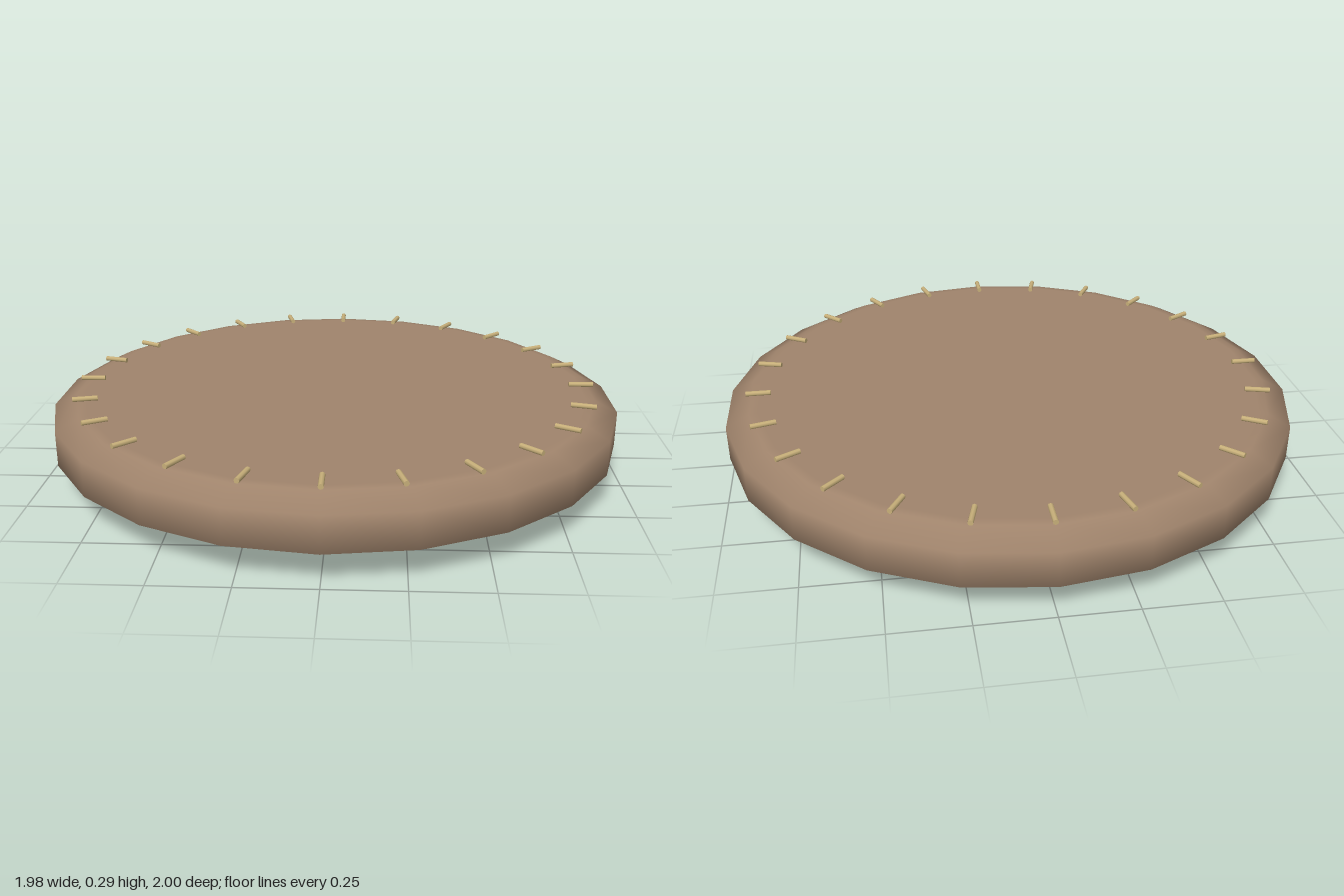
import * as THREE from 'three';
import { toCreasedNormals } from 'three/addons/utils/BufferGeometryUtils.js';

const lathe = (points, sides) =>
  new THREE.LatheGeometry(points.map(([r, y]) => new THREE.Vector2(r, y)), sides);

export function createModel() {
  const model = new THREE.Group();
  const wood = new THREE.MeshStandardMaterial({ color: 0xa0846c });
  const brass = new THREE.MeshStandardMaterial({ color: 0xc8b07a });

  // Round platter with bevelled rim
  const platter = new THREE.Mesh(lathe([
    [0, 0.07], [0.89, 0.07], [0.92, 0.071], [1, 0.11],
    [1, 0.23], [0.92, 0.27], [0.89, 0.272], [0, 0.272],
  ], 22), wood);
  platter.name = 'platter';
  model.add(platter);

  // Three round feet
  const footGeometry = toCreasedNormals(lathe([
    [0, 0], [0.102, 0], [0.11, 0.008], [0.11, 0.064], [0.105, 0.072],
  ], 20), 0.9);
  for (let i = 0; i < 3; i++) {
    const a = (i * Math.PI * 2) / 3;
    const foot = new THREE.Mesh(footGeometry, wood);
    foot.name = `foot${i + 1}`;
    foot.position.set(0.69 * Math.cos(a), 0, 0.69 * Math.sin(a));
    model.add(foot);
  }

  // Ring of radial tick marks, lying just above the top
  const ticks = new THREE.Group();
  ticks.name = 'tickMarks';
  const tickGeometry = new THREE.CylinderGeometry(0.009, 0.009, 0.086, 8);
  tickGeometry.rotateZ(Math.PI / 2).translate(0.885, 0.284, 0);
  for (let i = 0; i < 24; i++) {
    const tick = new THREE.Mesh(tickGeometry, brass);
    tick.name = `tick${i + 1}`;
    tick.rotation.y = (i * Math.PI) / 12;
    ticks.add(tick);
  }
  model.add(ticks);

  return model;
}
